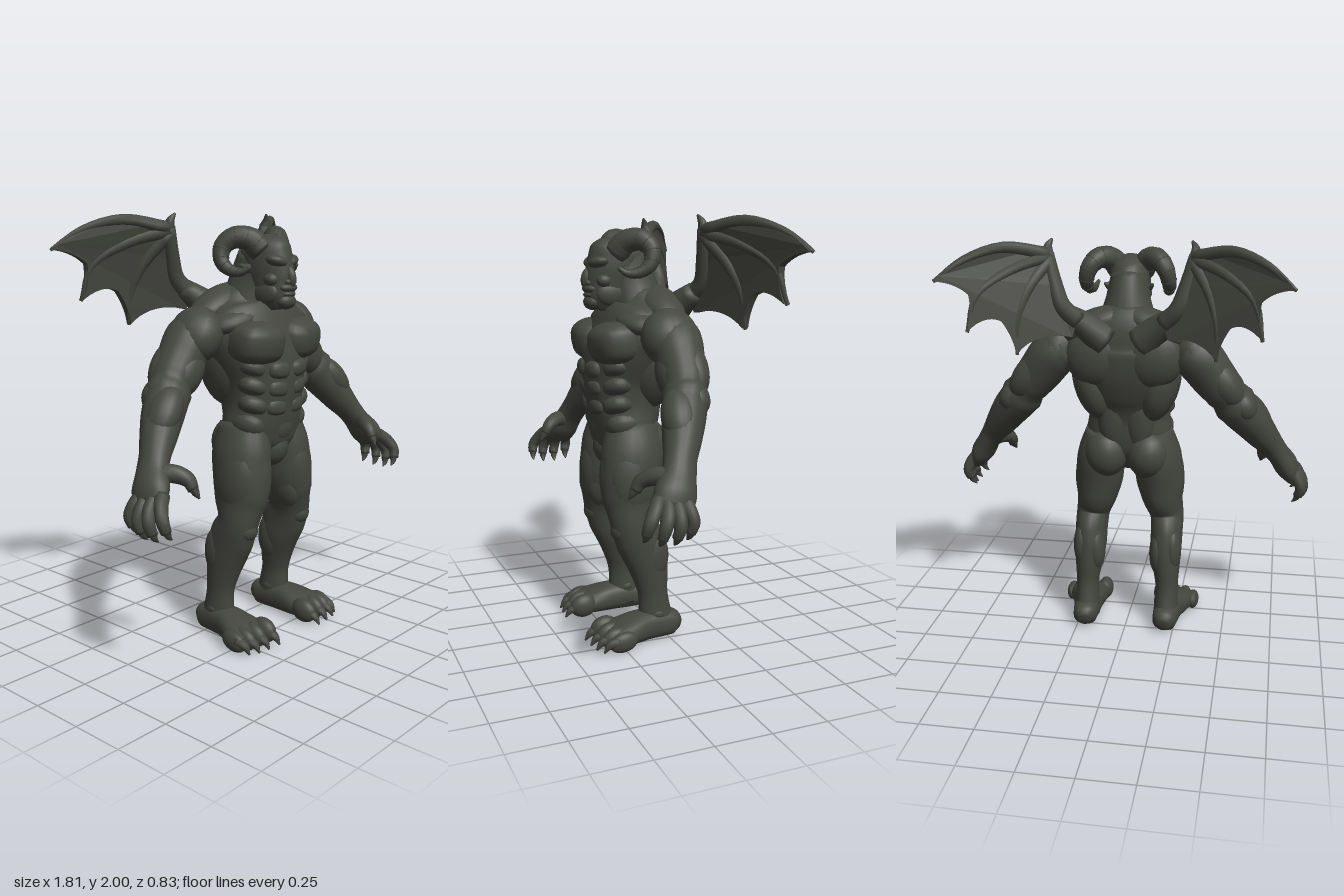
import * as THREE from 'three';

const V = (p) => new THREE.Vector3(p[0], p[1], p[2]);
const bend = (c, power) => Math.sign(c) * Math.abs(c) ** power;

// Smooth body through elliptical rings [x, y, z, a, b]; b is measured along ref, a across it.
function loft(rings, ref = [0, 0, 1], sides = 20, steps = 4, power = 1) {
  const path = new THREE.CatmullRomCurve3(rings.map(V));
  const size = new THREE.CatmullRomCurve3(rings.map((r) => new THREE.Vector3(r[3], r[4], 0)));
  const n = (rings.length - 1) * steps, pos = [], idx = [];
  for (let i = 0; i <= n; i++) {
    const c = path.getPoint(i / n), s = size.getPoint(i / n), t = path.getTangent(i / n);
    const v = V(ref).addScaledVector(t, -V(ref).dot(t)).normalize();
    const u = v.clone().cross(t);
    for (let j = 0; j < sides; j++) {
      const q = (j / sides) * Math.PI * 2;
      const p = c.clone().addScaledVector(u, s.x * bend(Math.cos(q), power)).addScaledVector(v, s.y * bend(Math.sin(q), power));
      pos.push(p.x, p.y, p.z);
      const k = (j + 1) % sides, a = i * sides + j, b = i * sides + k;
      if (i < n) idx.push(a, b, b + sides, a, b + sides, a + sides);
    }
  }
  const end = pos.length / 3, last = n * sides;
  pos.push(...path.getPoint(0).toArray(), ...path.getPoint(1).toArray());
  for (let j = 0; j < sides; j++) {
    const k = (j + 1) % sides;
    idx.push(end, k, j, end + 1, last + j, last + k);
  }
  const g = new THREE.BufferGeometry();
  g.setAttribute('position', new THREE.Float32BufferAttribute(pos, 3));
  g.setIndex(idx);
  g.computeVertexNormals();
  return g;
}

// Ellipsoid muscle; a power below 1 makes it squarer
function blob(p, r, rot = [0, 0, 0], power = 1) {
  const g = new THREE.SphereGeometry(1, 20, 14);
  const a = g.attributes.position;
  for (let i = 0; i < a.count; i++) a.setXYZ(i, bend(a.getX(i), power), bend(a.getY(i), power), bend(a.getZ(i), power));
  g.scale(...r);
  if (power !== 1) g.computeVertexNormals();
  return g.rotateX(rot[0]).rotateY(rot[1]).rotateZ(rot[2]).translate(...p);
}

// Round tapering tube through points, with radius r0 to r1
function taper(points, r0, r1, ref, sides = 10) {
  const n = points.length - 1;
  return loft(points.map((p, i) => {
    const r = r0 + (r1 - r0) * (i / n) ** 1.3;
    return [...p, r, r];
  }), ref, sides, 4);
}

// Copy of a geometry on the other side of x = 0
function mirror(geo) {
  const g = geo.clone().applyMatrix4(new THREE.Matrix4().makeScale(-1, 1, 1));
  const old = g.index ? Array.from(g.index.array) : Array.from({ length: g.attributes.position.count }, (_, i) => i);
  for (let i = 0; i < old.length; i += 3) [old[i + 1], old[i + 2]] = [old[i + 2], old[i + 1]];
  g.setIndex(old);
  return g;
}

export function createModel() {
  const model = new THREE.Group();
  model.name = 'hornedStoneGuardian';
  const stone = new THREE.MeshStandardMaterial({ color: 0x44463f });
  stone.name = 'darkStone';
  const add = (name, geo) => {
    const m = new THREE.Mesh(geo, stone);
    m.name = name;
    model.add(m);
  };
  const pair = (name, geo) => {
    add(name + 'Left', geo);
    add(name + 'Right', mirror(geo));
  };

  // Torso and neck
  add('torso', loft([
    [0, 0.85, 0.15, 0.05, 0.07], [0, 0.95, 0.15, 0.18, 0.135], [0, 1.03, 0.15, 0.215, 0.15],
    [0, 1.12, 0.155, 0.203, 0.16], [0, 1.22, 0.148, 0.208, 0.183], [0, 1.32, 0.125, 0.25, 0.2],
    [0, 1.42, 0.095, 0.285, 0.2], [0, 1.52, 0.07, 0.28, 0.185], [0, 1.59, 0.05, 0.215, 0.145], [0, 1.67, 0.06, 0.12, 0.1],
  ], [0, 0, 1], 28, 4, 0.9));
  add('neck', loft([[0, 1.48, 0.06, 0.2, 0.15], [0, 1.6, 0.08, 0.145, 0.13], [0, 1.7, 0.105, 0.108, 0.125], [0, 1.8, 0.14, 0.09, 0.12]]));

  // Torso muscles
  pair('pectoral', blob([0.133, 1.43, 0.2], [0.135, 0.1, 0.145], [0.15, 0.18, 0.06], 0.72));
  pair('collarMuscle', blob([0.15, 1.53, 0.11], [0.17, 0.065, 0.125], [0, 0, -0.25]));
  pair('trapezius', blob([0.15, 1.588, 0.005], [0.175, 0.075, 0.1], [0, 0, -0.4]));
  pair('shoulderBlade', blob([0.135, 1.45, -0.035], [0.15, 0.15, 0.08], [0, 0, 0.3]));
  pair('latissimus', blob([0.165, 1.3, 0.05], [0.095, 0.19, 0.125], [0, 0, -0.25]));
  pair('lowerBack', blob([0.065, 1.15, 0.045], [0.08, 0.2, 0.065]));
  [1.298, 1.213, 1.125].forEach((y, i) => {
    pair('abdominal' + (i + 1), blob([0.063, y, 0.283 - i * 0.01], [0.064, 0.044, 0.06], [0, 0.18, 0.1], 0.75));
    pair('ribMuscle' + (i + 1), blob([0.153 - i * 0.003, y + 0.01, 0.215], [0.07, 0.045, 0.075], [0, 0.6, 0.4], 0.85));
  });
  add('lowerBelly', blob([0, 1.03, 0.215], [0.125, 0.11, 0.09]));
  add('loin', blob([0, 0.92, 0.195], [0.09, 0.1, 0.095]));
  pair('hipMuscle', blob([0.138, 1.035, 0.175], [0.085, 0.07, 0.105], [0, 0.3, 0.7]));
  pair('buttock', blob([0.105, 0.935, 0.068], [0.11, 0.125, 0.11]));

  // Head
  add('head', loft([
    [0, 1.565, 0.245, 0.05, 0.06], [0, 1.61, 0.23, 0.078, 0.1], [0, 1.68, 0.2, 0.088, 0.13],
    [0, 1.76, 0.175, 0.097, 0.14], [0, 1.83, 0.16, 0.095, 0.137], [0, 1.875, 0.15, 0.07, 0.1], [0, 1.9, 0.145, 0.025, 0.035],
  ], [0, 0, 1], 22));
  add('chin', blob([0, 1.607, 0.288], [0.054, 0.038, 0.042]));
  add('upperLip', blob([0, 1.668, 0.298], [0.055, 0.024, 0.036]));
  add('lowerLip', blob([0, 1.64, 0.296], [0.045, 0.018, 0.034]));
  add('nose', blob([0, 1.718, 0.312], [0.023, 0.05, 0.03], [-0.25, 0, 0]));
  pair('nostril', blob([0.02, 1.695, 0.31], [0.017, 0.014, 0.02]));
  pair('brow', blob([0.042, 1.785, 0.268], [0.055, 0.028, 0.045], [0, 0.4, 0.3]));
  pair('eye', blob([0.045, 1.745, 0.275], [0.019, 0.012, 0.018]));
  pair('cheek', blob([0.055, 1.705, 0.245], [0.037, 0.034, 0.045], [0, 0.5, 0]));
  pair('jaw', blob([0.058, 1.645, 0.21], [0.033, 0.06, 0.08]));
  pair('ear', taper([[0.08, 1.75, 0.15], [0.1, 1.757, 0.13], [0.117, 1.77, 0.11]], 0.028, 0.005, [0, 0, 1], 8));

  // Curled horns with raised bands
  const horn = [[0.055, 1.83, 0.19], [0.09, 1.88, 0.155], [0.14, 1.89, 0.1], [0.18, 1.85, 0.065],
    [0.198, 1.785, 0.075], [0.192, 1.745, 0.125], [0.178, 1.74, 0.18], [0.165, 1.765, 0.22]];
  pair('horn', taper(horn, 0.06, 0.008, [0.8, 0, 0.6], 14));
  const hornPath = new THREE.CatmullRomCurve3(horn.map(V));
  for (let i = 1; i < 10; i++) {
    const t = i / 11, r = 0.06 - 0.052 * t ** 1.3;
    const band = new THREE.TorusGeometry(r * 0.97, 0.003, 5, 14);
    band.applyQuaternion(new THREE.Quaternion().setFromUnitVectors(V([0, 0, 1]), hornPath.getTangent(t)));
    pair('hornBand' + i, band.translate(...hornPath.getPoint(t).toArray()));
  }

  // Arms
  pair('arm', loft([
    [0.28, 1.48, 0.02, 0.1, 0.105], [0.35, 1.44, 0.02, 0.115, 0.122], [0.415, 1.36, 0.025, 0.11, 0.11],
    [0.48, 1.28, 0.035, 0.1, 0.1], [0.54, 1.2, 0.06, 0.1, 0.1], [0.6, 1.13, 0.092, 0.093, 0.095],
    [0.66, 1.05, 0.127, 0.078, 0.083], [0.71, 0.985, 0.157, 0.062, 0.072], [0.745, 0.935, 0.177, 0.056, 0.075],
    [0.785, 0.87, 0.21, 0.06, 0.092], [0.815, 0.815, 0.235, 0.042, 0.085],
  ]));
  pair('shoulder', blob([0.335, 1.46, 0.04], [0.11, 0.135, 0.135], [0, 0, 0.45]));
  pair('biceps', blob([0.435, 1.305, 0.075], [0.085, 0.13, 0.07], [0, 0, 0.65]));
  pair('triceps', blob([0.465, 1.335, -0.005], [0.08, 0.14, 0.075], [0, 0, 0.65]));
  pair('elbow', blob([0.565, 1.215, 0.022], [0.065, 0.08, 0.065], [0, 0, 0.6]));
  pair('forearmMuscle', blob([0.605, 1.16, 0.11], [0.075, 0.14, 0.085], [-0.2, 0, 0.65]));

  // Hands
  [0.31, 0.262, 0.213, 0.165].forEach((z, i) => {
    const d = [-0.016, 0.002, 0.004, -0.008][i], s = (z - 0.235) * 0.3;
    pair('finger' + (i + 1), taper([[0.795, 0.855, z - s], [0.85 + d, 0.805 - d, z + 0.01],
      [0.872 + d, 0.755 - d, z + 0.02 + s], [0.862 + d, 0.71 - d, z + 0.03 + s]], 0.034, 0.023, [0, 0, 1]));
    pair('fingerClaw' + (i + 1), taper([[0.863 + d, 0.725 - d, z + 0.026 + s], [0.852 + d, 0.695 - d, z + 0.03 + s],
      [0.832 + d, 0.675 - d, z + 0.032 + s]], 0.022, 0.003, [0, 0, 1], 8));
  });
  pair('thumb', taper([[0.755, 0.925, 0.2], [0.705, 0.93, 0.265], [0.67, 0.905, 0.315], [0.664, 0.865, 0.34]], 0.046, 0.024, [1, 0, 0]));
  pair('thumbClaw', taper([[0.664, 0.875, 0.337], [0.66, 0.85, 0.352], [0.655, 0.83, 0.366]], 0.023, 0.004, [1, 0, 0], 8));

  // Legs
  pair('leg', loft([
    [0.12, 1.04, 0.14, 0.095, 0.125], [0.143, 0.9, 0.147, 0.122, 0.152], [0.157, 0.78, 0.162, 0.122, 0.146],
    [0.17, 0.68, 0.167, 0.105, 0.137], [0.193, 0.58, 0.17, 0.086, 0.105], [0.197, 0.5, 0.135, 0.082, 0.118],
    [0.197, 0.42, 0.106, 0.081, 0.109], [0.203, 0.32, 0.083, 0.069, 0.089], [0.208, 0.22, 0.07, 0.058, 0.073],
    [0.208, 0.14, 0.062, 0.06, 0.08], [0.208, 0.04, 0.045, 0.064, 0.09],
  ], [0, 0, 1], 22));
  pair('outerThigh', blob([0.205, 0.79, 0.165], [0.075, 0.19, 0.12], [0, 0, 0.05]));
  pair('frontThigh', blob([0.15, 0.77, 0.225], [0.085, 0.2, 0.085], [0.05, 0, 0.1]));
  pair('innerThigh', blob([0.115, 0.68, 0.19], [0.05, 0.11, 0.09], [0, 0, 0.25]));
  pair('knee', blob([0.195, 0.55, 0.222], [0.058, 0.06, 0.055]));
  pair('outerCalf', blob([0.235, 0.42, 0.075], [0.045, 0.12, 0.072]));
  pair('innerCalf', blob([0.162, 0.4, 0.075], [0.047, 0.12, 0.072]));
  pair('ankle', blob([0.208, 0.13, 0.06], [0.065, 0.045, 0.055]));

  // Feet
  pair('foot', loft([
    [0.205, 0.052, -0.064, 0.03, 0.032], [0.207, 0.064, -0.03, 0.06, 0.062], [0.21, 0.071, 0.04, 0.068, 0.07],
    [0.215, 0.073, 0.12, 0.077, 0.072], [0.225, 0.066, 0.2, 0.098, 0.064], [0.233, 0.056, 0.27, 0.108, 0.053], [0.233, 0.048, 0.31, 0.095, 0.04],
  ], [0, 1, 0], 20, 4, 0.85));
  [0.155, 0.225, 0.285, 0.33].forEach((x, i) => {
    const z = [0.325, 0.32, 0.312, 0.29][i], r = [0.041, 0.038, 0.035, 0.03][i];
    pair('toe' + (i + 1), blob([x, r + 0.02, z - 0.025], [r, r + 0.018, 0.07], [0.2, 0, 0]));
    pair('toeClaw' + (i + 1), taper([[x, 0.056, z], [x, 0.045, z + 0.045], [x, 0.012, z + 0.073]], 0.03, 0.004, [0, 1, 0], 8));
  });

  // Wings: swept-back membrane, bowed forward at the wrist, with arm and finger bones
  const sweep = (x, y) => -0.1 - 0.54 * (x - 0.2) + 0.12 * (y - 1.84)
    + 0.05 * Math.max(0, 1 - Math.hypot(x - 0.32, y - 1.98) / 0.3);
  const wing = (pts) => pts.map(([x, y]) => [x, y, sweep(x, y)]);
  const edge = new THREE.Shape();
  edge.moveTo(0.2, 1.63);
  edge.quadraticCurveTo(0.3, 1.74, 0.33, 1.94);
  edge.quadraticCurveTo(0.42, 1.965, 0.52, 1.985);
  edge.quadraticCurveTo(0.67, 1.96, 0.775, 1.84);
  edge.quadraticCurveTo(0.69, 1.83, 0.64, 1.775);
  edge.quadraticCurveTo(0.625, 1.69, 0.65, 1.615);
  edge.quadraticCurveTo(0.57, 1.69, 0.51, 1.65);
  edge.quadraticCurveTo(0.465, 1.58, 0.45, 1.5);
  edge.quadraticCurveTo(0.37, 1.6, 0.22, 1.56);
  const membrane = new THREE.ExtrudeGeometry(edge, { depth: 0.03, bevelEnabled: false, curveSegments: 10 });
  const mp = membrane.attributes.position;
  for (let i = 0; i < mp.count; i++) mp.setZ(i, mp.getZ(i) - 0.015 + sweep(mp.getX(i), mp.getY(i)));
  membrane.computeVertexNormals();
  pair('wingMembrane', membrane);
  pair('wingRoot', taper([[0.09, 1.53, -0.05], [0.16, 1.59, -0.08], [0.24, 1.66, -0.125]], 0.085, 0.045, [0, 0, 1], 12));
  pair('wingArm', taper(wing([[0.2, 1.63], [0.265, 1.7], [0.3, 1.8], [0.335, 1.935]]), 0.045, 0.028, [0, 0, 1]));
  pair('wingSpike', taper(wing([[0.335, 1.92], [0.335, 1.965], [0.318, 1.998]]), 0.03, 0.005, [0, 0, 1], 8));
  const bones = [
    [[0.335, 1.93], [0.51, 1.968], [0.66, 1.925], [0.778, 1.838]],
    [[0.33, 1.92], [0.48, 1.87], [0.61, 1.77], [0.65, 1.61]],
    [[0.325, 1.91], [0.41, 1.78], [0.45, 1.64], [0.45, 1.495]],
  ];
  bones.forEach((b, i) => pair('wingFinger' + (i + 1), taper(wing(b), 0.032, 0.008, [0, 0, 1], 8)));
  return model;
}
